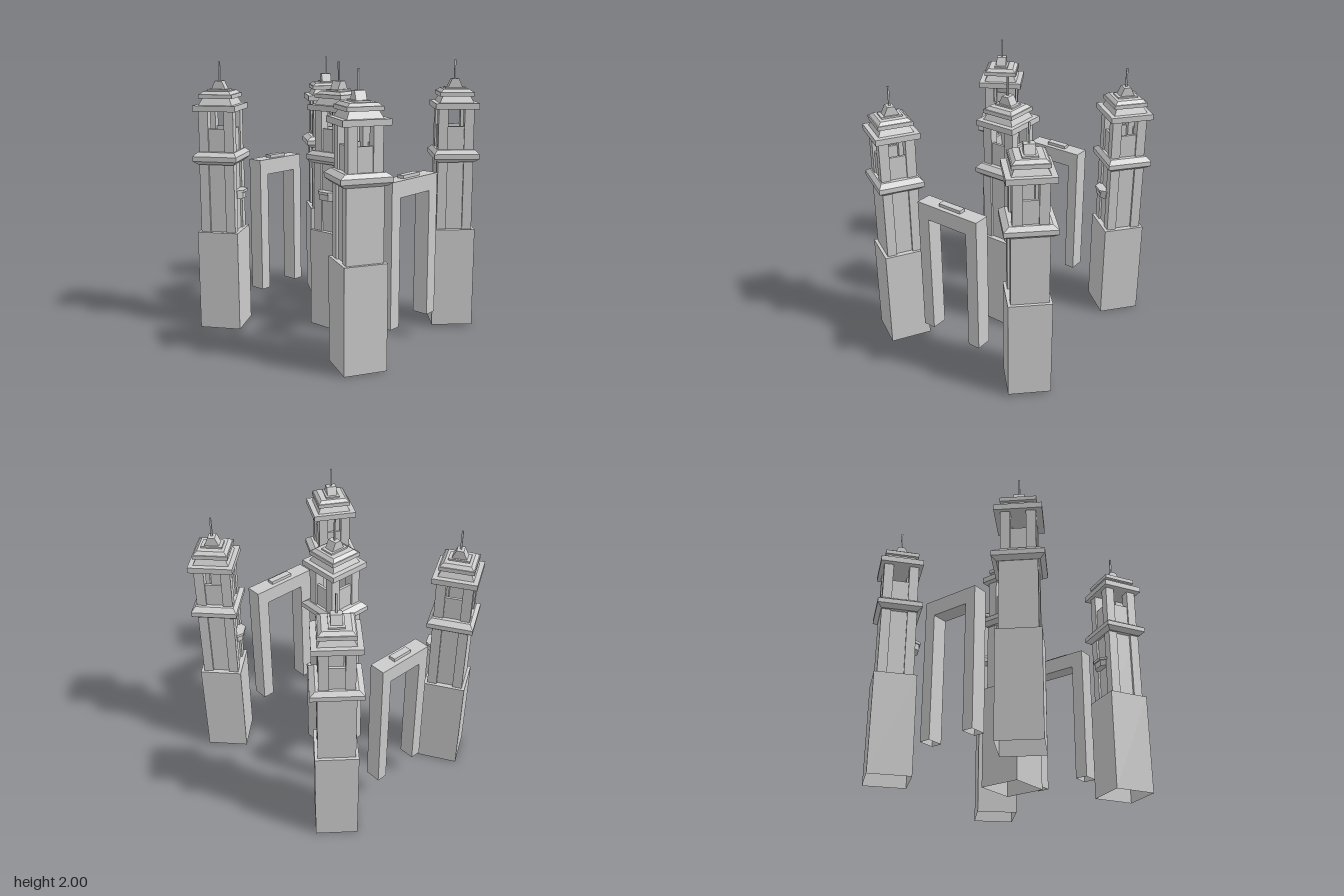
import * as THREE from 'three';

const grey = new THREE.MeshStandardMaterial({ color: 0xcccccc, flatShading: true, side: THREE.DoubleSide });

// Block between heights y0 and y1, with its own width and depth at each end
function block(parent, name, y0, y1, [w0, d0], [w1, d1] = [w0, d0], x = 0, z = 0, openBottom = false) {
  const geo = new THREE.BoxGeometry(1, y1 - y0, 1);
  const p = geo.attributes.position;
  for (let i = 0; i < p.count; i++) {
    const top = p.getY(i) > 0;
    p.setXYZ(i, p.getX(i) * (top ? w1 : w0), p.getY(i), p.getZ(i) * (top ? d1 : d0));
  }
  if (openBottom) {
    const index = Array.from(geo.index.array);
    index.splice(18, 6);
    geo.setIndex(index);
    geo.clearGroups();
  }
  geo.computeVertexNormals();
  const mesh = new THREE.Mesh(geo, grey);
  mesh.name = name;
  mesh.position.set(x, (y0 + y1) / 2, z);
  parent.add(mesh);
  return mesh;
}

// Half-octagon slab on the -x side, from the wall out to the given reach
function bay(parent, name, y0, y1, reach, half) {
  const s = new THREE.Shape();
  s.moveTo(-0.1, half);
  s.lineTo(-0.135, half);
  s.lineTo(-reach, half * 0.58);
  s.lineTo(-reach, -half * 0.58);
  s.lineTo(-0.135, -half);
  s.lineTo(-0.1, -half);
  s.closePath();
  const geo = new THREE.ExtrudeGeometry(s, { depth: y1 - y0, bevelEnabled: false });
  geo.rotateX(-Math.PI / 2);
  const mesh = new THREE.Mesh(geo, grey);
  mesh.name = name;
  mesh.position.y = y0;
  parent.add(mesh);
}

function tower() {
  const g = new THREE.Group();
  g.name = 'tower';
  block(g, 'base', 0, 0.742, [0.305, 0.302], undefined, 0, 0, true);

  // Lower shaft: flat on the +x side, recessed panels between corner posts elsewhere
  block(g, 'shaftCore', 0.74, 1.26, [0.245, 0.225], undefined, 0.0075);
  for (const sx of [-1, 1]) for (const sz of [-1, 1]) {
    block(g, 'shaftPost', 0.74, 1.26, [0.07, 0.07], undefined, sx * 0.095, sz * 0.095);
    block(g, 'belfryPost', 1.33, 1.645, [0.07, 0.067], undefined, sx * 0.095, sz * 0.0865);
  }
  block(g, 'shaftBackPanel', 0.74, 1.26, [0.03, 0.13], undefined, 0.115);

  // Balcony
  bay(g, 'balconyFloor', 0.985, 1.03, 0.168, 0.07);
  bay(g, 'balconyRail', 1.03, 1.05, 0.178, 0.08);

  // Bevelled ring
  block(g, 'ringUnderside', 1.25, 1.277, [0.265, 0.29], [0.328, 0.358]);
  block(g, 'ringBand', 1.277, 1.312, [0.328, 0.358]);
  block(g, 'ringTop', 1.312, 1.34, [0.328, 0.358], [0.275, 0.28]);

  // Belfry walls below the open windows
  for (const s of [-1, 1]) {
    block(g, 'belfryWall', 1.33, 1.508, [0.02, 0.12], undefined, s * 0.108);
    block(g, 'belfryWall', 1.33, 1.508, [0.13, 0.02], undefined, 0, s * 0.098);
  }

  // Stepped roof
  block(g, 'eaves', 1.638, 1.68, [0.317, 0.328]);
  block(g, 'lowerRoof', 1.68, 1.73, [0.25, 0.25], [0.2, 0.2]);
  block(g, 'upperEaves', 1.728, 1.757, [0.25, 0.25]);
  block(g, 'upperRoof', 1.757, 1.778, [0.235, 0.235], [0.19, 0.19]);
  block(g, 'capPlinth', 1.775, 1.79, [0.15, 0.105]);
  block(g, 'cap', 1.79, 1.85, [0.105, 0.075], [0.05, 0.075]);
  block(g, 'mast', 1.85, 1.987, [0.012, 0.012]);
  return g;
}

// Gateway; k scales it along x
function gate(k) {
  const g = new THREE.Group();
  g.name = 'gate';
  const w = 0.52 * k, leg = 0.094 * k;
  for (const s of [-1, 1]) {
    block(g, 'gateLeg', 0.185, 1.105, [leg, 0.12], undefined, s * (w - leg) / 2, 0, true);
  }
  block(g, 'gateLintel', 1.105, 1.222, [w, 0.12]);
  block(g, 'gatePlate', 1.222, 1.245, [0.187 * k, 0.052]);
  return g;
}

export function createModel() {
  const model = new THREE.Group();
  model.name = 'towersAndGates';

  // x, y, z and turn in degrees; the balconies of the outer towers face inwards
  const places = [
    [-0.03, 0, 0.01, 0],
    [-0.59, 0, -0.655, 121],
    [0.547, 0, -0.645, 51],
    [-0.565, 0, 0.647, -119],
    [0.58, 0.013, 0.607, -46.5],
  ];
  for (const [x, y, z, turn] of places) {
    const t = tower();
    t.position.set(x, y, z);
    t.rotation.y = THREE.MathUtils.degToRad(turn);
    model.add(t);
  }

  for (const [x, z, k] of [[-0.03, 0.652, 1], [-0.035, -0.659, 0.85]]) {
    const a = gate(k);
    a.position.set(x, 0, z);
    model.add(a);
  }
  return model;
}
